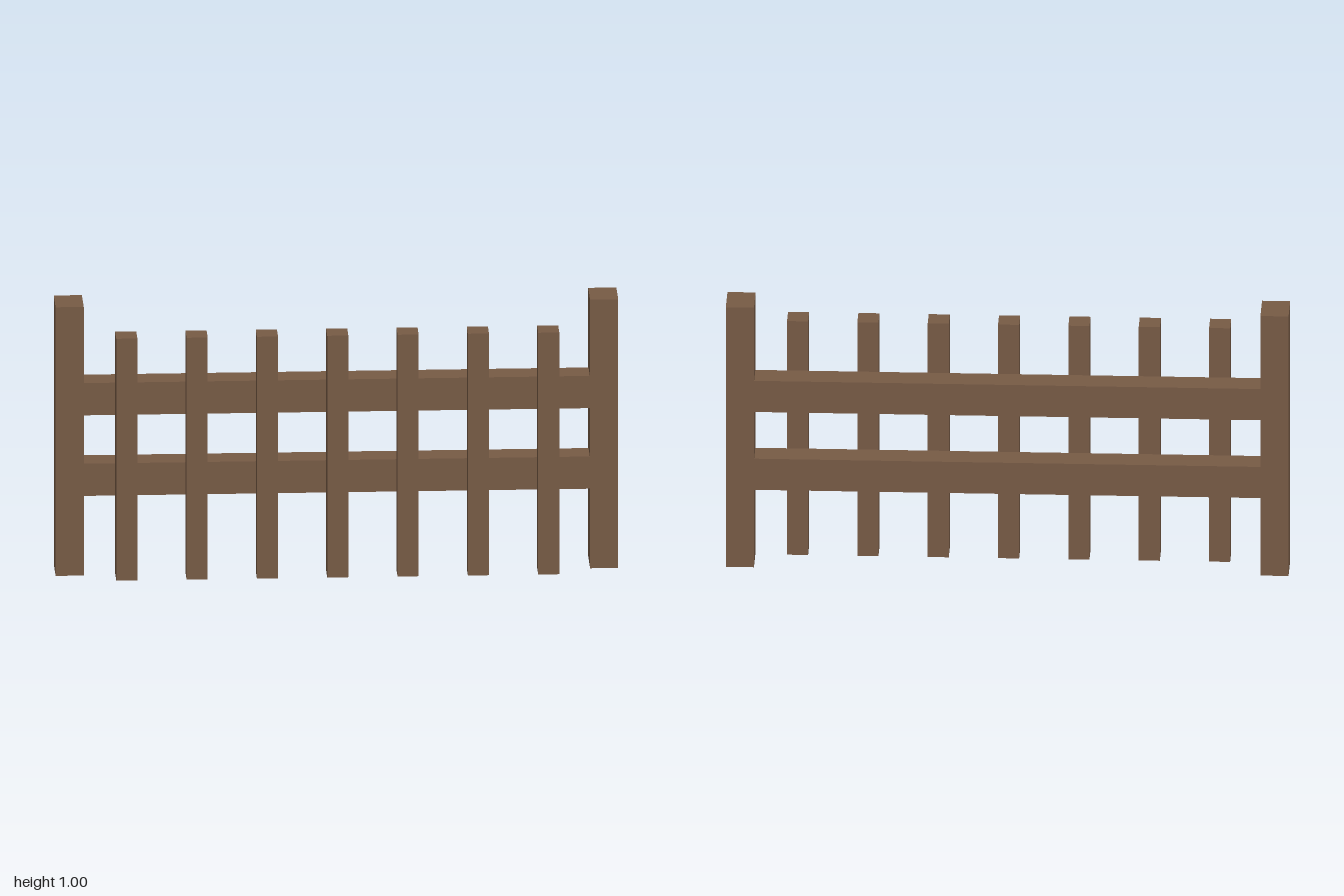
import * as THREE from 'three';

export function createModel() {
  const fence = new THREE.Group();
  fence.name = 'fence';
  const wood = new THREE.MeshStandardMaterial({ color: 0x775b45 });
  wood.name = 'brown wood';

  const beam = (name, size, position) => {
    const mesh = new THREE.Mesh(new THREE.BoxGeometry(...size), wood);
    mesh.name = name;
    mesh.position.set(...position);
    fence.add(mesh);
  };

  const frameZ = -0.0325;

  // End posts
  beam('leftPost', [0.1, 1, 0.14], [0.95, 0.5, frameZ]);
  beam('rightPost', [0.1, 1, 0.14], [-0.95, 0.5, frameZ]);

  // Horizontal rails between the posts
  beam('lowerRail', [1.8, 0.12, 0.1], [0, 0.35, frameZ]);
  beam('upperRail', [1.8, 0.12, 0.1], [0, 0.65, frameZ]);

  // Pickets fixed to the front of the rails
  for (let i = -3; i <= 3; i++) {
    beam(`picket${i + 4}`, [0.075, 0.9, 0.085], [i * 0.25, 0.45, 0.06]);
  }
  return fence;
}
